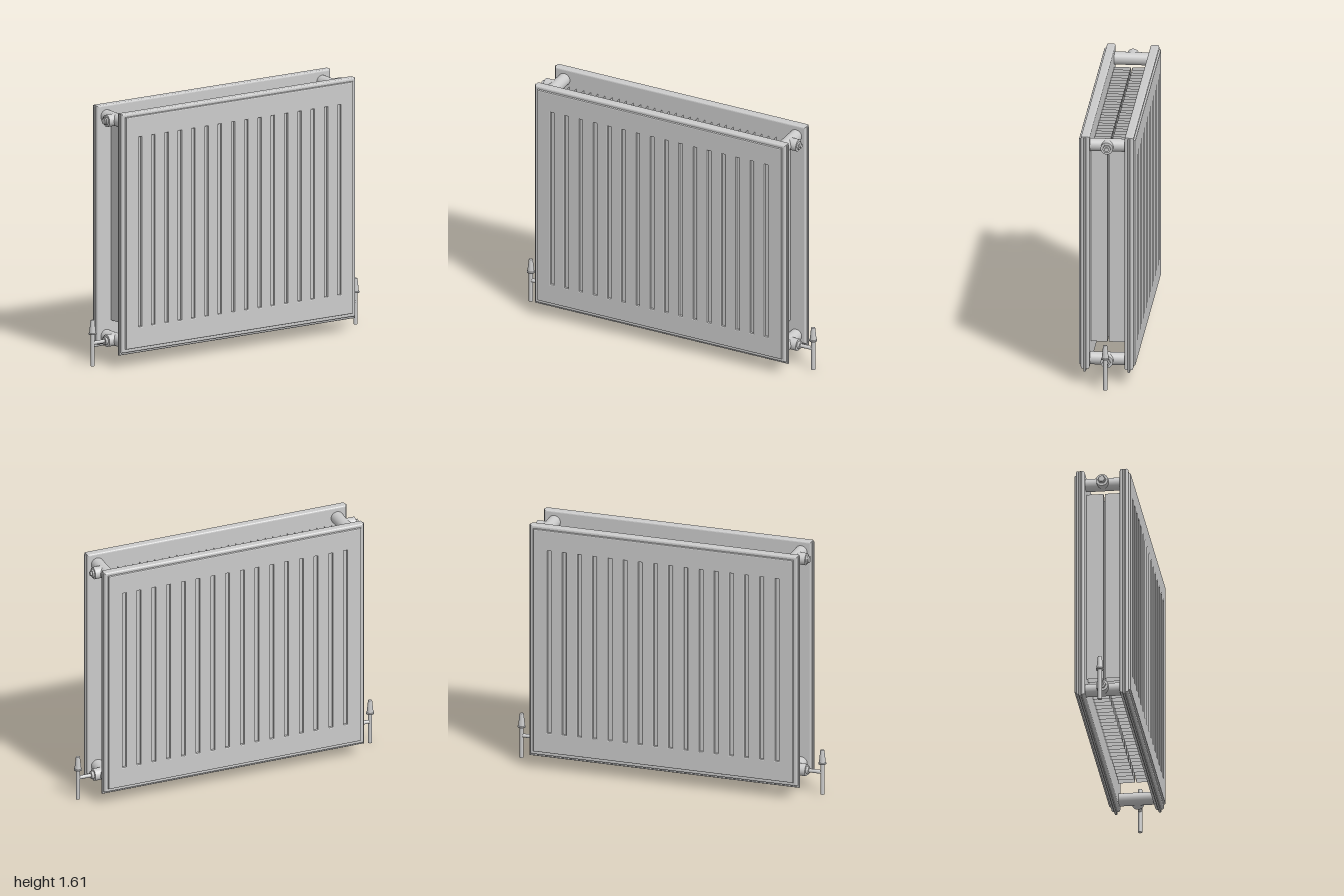
import * as THREE from 'three';

const metal = new THREE.MeshStandardMaterial({ color: 0xcccccc });
const sheet = new THREE.MeshStandardMaterial({ color: 0xcccccc, side: THREE.DoubleSide });

const SLOTS = 16, PITCH = 0.0985;
const slotX = (i) => (i - (SLOTS - 1) / 2) * PITCH;

function add(parent, name, geometry, material = metal) {
  const mesh = new THREE.Mesh(geometry, material);
  mesh.name = name;
  parent.add(mesh);
  return mesh;
}

function rect(target, x0, x1, y0, y1) {
  target.moveTo(x0, y0);
  target.lineTo(x1, y0);
  target.lineTo(x1, y1);
  target.lineTo(x0, y1);
  target.closePath();
  return target;
}

// Slab between z0 and z1 with bevelled rims that stay inside the outline
function slab(shape, z0, z1, bevel, segments = 1) {
  const g = new THREE.ExtrudeGeometry(shape, {
    depth: z1 - z0 - 2 * bevel, bevelEnabled: true, bevelThickness: bevel,
    bevelSize: bevel, bevelOffset: -bevel, bevelSegments: segments,
  });
  return g.translate(0, 0, z0 + bevel);
}

// Square-wave sheet of convector fins, open at top and bottom
function finGeometry(y0, y1, zNear, zFar) {
  const path = [];
  const w = PITCH / 4;
  for (let i = 0; i < SLOTS; i++) {
    const x = slotX(i);
    path.push([x - w, zFar], [x - w, zNear], [x + w, zNear], [x + w, zFar]);
  }
  const pos = [], index = [];
  path.forEach(([x, z], i) => {
    pos.push(x, y0, z, x, y1, z);
    if (i) {
      const a = 2 * i - 2;
      index.push(a, a + 2, a + 1, a + 1, a + 2, a + 3);
    }
  });
  const g = new THREE.BufferGeometry();
  g.setAttribute('position', new THREE.Float32BufferAttribute(pos, 3));
  g.setIndex(index);
  const flat = g.toNonIndexed();
  flat.computeVertexNormals();
  return flat;
}

// One water panel with its seam, grooved face and fins, facing +z
function makePanel(name) {
  const panel = new THREE.Group();
  panel.name = name;
  add(panel, 'panelBody', slab(rect(new THREE.Shape(), -0.865, 0.865, 0.095, 1.605), 0.108, 0.162, 0.01, 3));
  add(panel, 'seamFlange', slab(rect(new THREE.Shape(), -0.875, 0.875, 0.08, 1.6), 0.128, 0.144, 0.003));

  const face = rect(new THREE.Shape(), -0.843, 0.843, 0.118, 1.585);
  for (let i = 0; i < SLOTS; i++) {
    face.holes.push(rect(new THREE.Path(), slotX(i) - 0.011, slotX(i) + 0.011, 0.252, 1.45));
  }
  add(panel, 'groovedFace', slab(face, 0.15, 0.175, 0.007, 2));
  add(panel, 'convectorFins', finGeometry(0.24, 1.49, 0.005, 0.108), sheet);
  return panel;
}

// Cylinder along x from x0 to x1
function xRod(r, x0, x1, y, sides = 24) {
  return new THREE.CylinderGeometry(r, r, x1 - x0, sides)
    .rotateZ(-Math.PI / 2).translate((x0 + x1) / 2, y, 0);
}

// Tee joining both panels, with a branch to the +x side
function makeTee(name, y) {
  const tee = new THREE.Group();
  tee.name = name;
  add(tee, 'crossPipe', new THREE.CylinderGeometry(0.04, 0.04, 0.22, 32)
    .rotateX(Math.PI / 2).translate(0.8, y, 0));
  add(tee, 'branch', xRod(0.038, 0.8, 0.873, y, 32));
  return tee;
}

// Valve with riser, elbow pipe and tapered cap on the +x side
function makeValve() {
  const valve = new THREE.Group();
  valve.name = 'valve';
  const y = 0.145, x = 0.975;
  add(valve, 'valveNut', xRod(0.025, 0.87, 0.89, y, 6));
  add(valve, 'valveTail', xRod(0.012, 0.88, x, y));
  add(valve, 'riserPipe', new THREE.CylinderGeometry(0.013, 0.013, 0.21, 24).translate(x, 0.105, 0));
  const cap = [[0, 0.2], [0.025, 0.2], [0.025, 0.206], [0.021, 0.21], [0.013, 0.287], [0.011, 0.29], [0, 0.29]];
  const profile = cap.map(([r, h]) => new THREE.Vector2(r, h));
  // Doubled points keep the cap's rims crisp
  const lathe = new THREE.LatheGeometry(profile, 16).toNonIndexed();
  lathe.computeVertexNormals();
  add(valve, 'valveCap', lathe.translate(x, 0, 0));
  return valve;
}

export function createModel() {
  const radiator = new THREE.Group();
  radiator.name = 'radiator';

  radiator.add(makePanel('frontPanel'));
  const back = makePanel('backPanel');
  back.rotation.y = Math.PI;
  radiator.add(back);

  // Fittings at both ends; the right end is the left one turned around
  for (const side of ['left', 'right']) {
    const end = new THREE.Group();
    end.name = side + 'Fittings';
    const top = makeTee('topTee', 1.535);
    add(top, 'plugNut', xRod(0.026, 0.87, 0.884, 1.535, 6));
    if (side === 'left') {
      add(top, 'bleedScrew', xRod(0.013, 0.88, 0.895, 1.535, 16));
    } else {
      add(top, 'plugHead', xRod(0.021, 0.88, 0.894, 1.535, 6));
    }
    end.add(top, makeTee('bottomTee', 0.145), makeValve());
    if (side === 'right') end.rotation.y = Math.PI;
    radiator.add(end);
  }
  return radiator;
}
